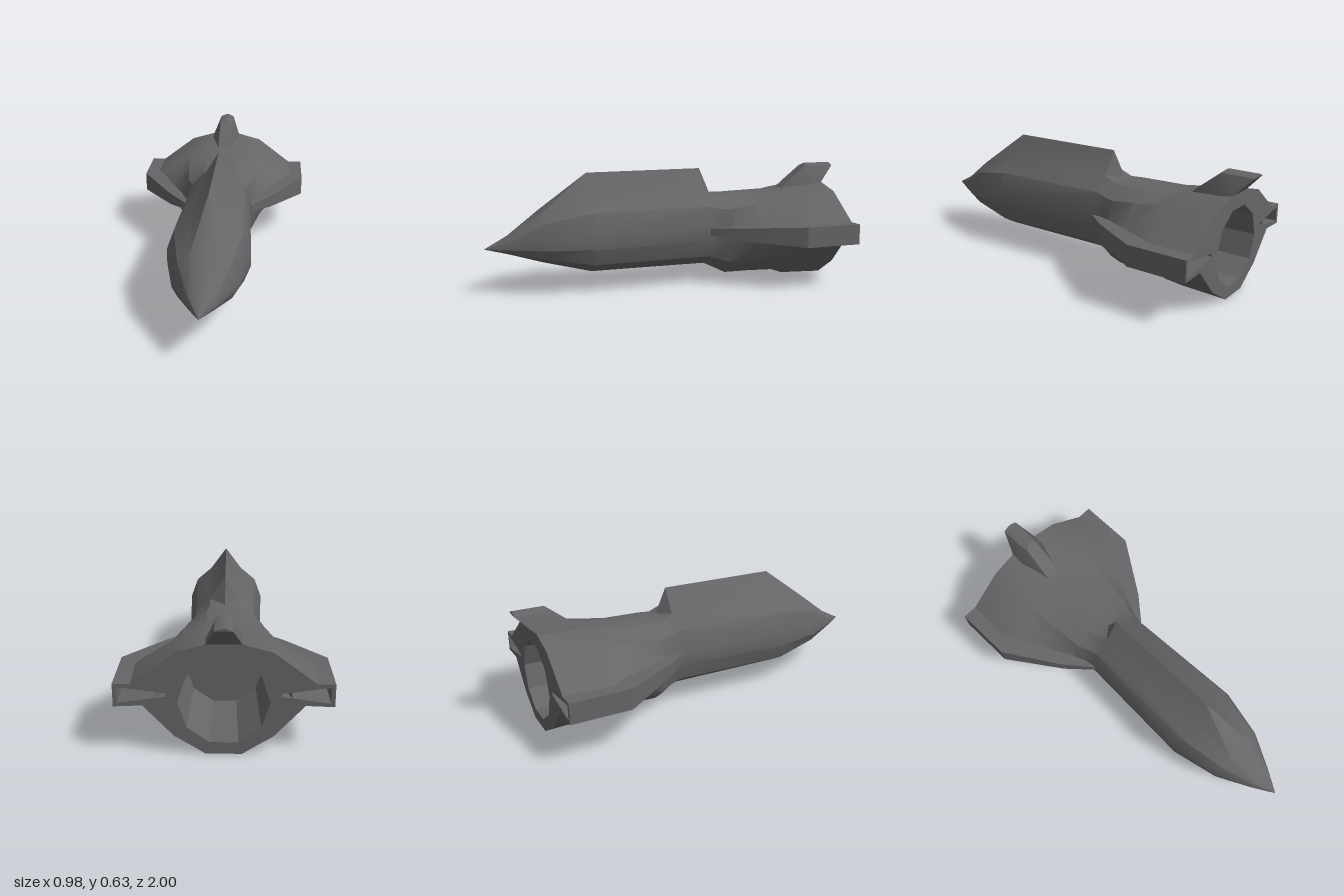
import * as THREE from 'three';
import { toCreasedNormals } from 'three/addons/utils/BufferGeometryUtils.js';

const material = new THREE.MeshStandardMaterial({ color: 0x656567 });
const BACK = -0.91;
const WAIST = 0.242;

// Skin closed rings of [x, y, z] points; skip(i, j) leaves a panel out.
// Panels on the second half of a ring are split the mirrored way.
function loft(rings, { startCap = false, endCap = false, skip = () => false } = {}) {
  const pos = [];
  const tri = (a, b, c) => pos.push(...a, ...b, ...c);
  const n = rings[0].length;
  for (let i = 0; i < rings.length - 1; i++) {
    for (let j = 0; j < n; j++) {
      if (skip(i, j)) continue;
      const k = (j + 1) % n, a = rings[i], b = rings[i + 1];
      if (j * 2 > n - 2) {
        tri(a[j], b[j], a[k]);
        tri(b[j], b[k], a[k]);
      } else {
        tri(a[j], b[j], b[k]);
        tri(a[j], b[k], a[k]);
      }
    }
  }
  const first = rings[0], last = rings[rings.length - 1];
  for (let j = 1; j < n - 1; j++) {
    if (startCap) tri(first[0], first[j], first[j + 1]);
    if (endCap) tri(last[0], last[j + 1], last[j]);
  }
  const geometry = new THREE.BufferGeometry();
  geometry.setAttribute('position', new THREE.Float32BufferAttribute(pos, 3));
  geometry.computeVertexNormals();
  return toCreasedNormals(geometry, 0.45);
}

const atZ = (points, z) => points.map(([x, y]) => [x, y, z]);
const mirrorRing = (ring) => ring.map(([x, ...rest]) => [-x, ...rest]).reverse();
// Complete a half outline that runs from bottom centre to top centre
const fullRing = (half) => [...half, ...half.slice(1, -1).map(([x, y]) => [-x, y]).reverse()];

// Unit hull profiles: widths from belly to spine, and heights above the waist.
// The belly heights below the waist are shared.
const bellyHeights = [-1, -1, -0.81, -0.63, 0];
const round = [0, 0.42, 0.64, 0.84, 1, 1, 0.82, 0.42, 0];
const flank = [0, 0.26, 0.47, 0.66, 0.92, 1, 0.66, 0.3, 0];
const flared = [0, 0.2, 0.37, 0.54, 0.88, 1, 0.53, 0.2, 0];
const profiles = {
  dome: { widths: round, upper: [0.3, 0.7, 0.94, 1] },
  ridge: { widths: round, upper: [0.21, 0.49, 0.68, 1] },
  flank: { widths: flank, upper: [0.35, 0.79, 0.97, 1] },
  skirt: { widths: flared, upper: [0.36, 0.87, 1, 1] },
};

// Hull stations, nose to tail: [z, profile, half width, bottom y, top y]
const stations = [
  [1, 'dome', 0, WAIST, WAIST],
  [0.88, 'dome', 0.07, 0.215, 0.305],
  [0.71, 'dome', 0.155, 0.168, 0.435],
  [0.46, 'ridge', 0.21, 0.107, 0.62],
  [-0.18, 'ridge', 0.182, 0.103, 0.625],
  [-0.24, 'dome', 0.195, 0.075, 0.49],
  [-0.3, 'dome', 0.225, 0.045, 0.49],
  [-0.44, 'flank', 0.3, 0.04, 0.488],
  [-0.6, 'skirt', 0.4, 0.035, 0.487],
  [-0.66, 'skirt', 0.43, 0.014, 0.497],
  [BACK, 'skirt', 0.41, 0.003, 0.53],
];

function halfSection([, name, width, bottom, top]) {
  const { widths, upper } = profiles[name];
  return [...bellyHeights, ...upper].map((v, i) =>
    [widths[i] * width, WAIST + v * (v < 0 ? WAIST - bottom : top - WAIST)]);
}

// Wing sections: [z, inner x, outer x, low y, high y]
const wing = [
  [-0.18, 0.15, 0.19, 0.275, 0.315],
  [-0.31, 0.17, 0.3, 0.258, 0.325],
  [-0.6, 0.2, 0.49, 0.237, 0.345],
  [BACK, 0.3, 0.49, 0.237, 0.345],
];

// Fin levels: [y, half width, front half width, back z, shoulder z, front z]
const fin = [
  [0.46, 0.085, 0.04, BACK, -0.82, -0.63],
  [0.53, 0.08, 0.038, BACK, -0.84, -0.71],
  [0.622, 0.04, 0.034, -1, -0.88, -0.825],
  [0.637, 0.006, 0.004, -1, -0.88, -0.842],
];

export function createModel() {
  const model = new THREE.Group();
  const add = (name, geometry) => {
    const mesh = new THREE.Mesh(geometry, material);
    mesh.name = name;
    model.add(mesh);
    return mesh;
  };

  // Hull, leaving out the tail side panels enclosed by the wings
  const halves = stations.map(halfSection);
  add('hull', loft(halves.map((half, i) => atZ(fullRing(half), stations[i][0])), {
    skip: (i, j) => i >= stations.length - 3 && (j === 4 || j === 11),
  }));

  // Wings
  const wingRings = wing.map(([z, a, b, lo, hi]) => atZ([[a, lo], [b, lo], [b, hi], [a, hi]], z));
  add('leftWing', loft(wingRings, { startCap: true }));
  add('rightWing', loft(wingRings.map(mirrorRing), { startCap: true }));

  // Tail fin
  const finRings = fin.map(([y, w, f, back, mid, front]) =>
    [[w, back], [w, mid], [f, front], [-f, front], [-w, mid], [-w, back]].map(([x, z]) => [x, y, z]));
  add('tailFin', loft(finRings, { startCap: true, endCap: true }));

  // Openings in the tail: engine and one tapered slot per wing
  const circle = (r) => Array.from({ length: 10 }, (_, i) => {
    const a = ((i + 0.5) / 10) * Math.PI * 2;
    return [r * Math.sin(a), 0.257 - r * Math.cos(a)];
  });
  const slot = [[0.255, 0.285], [0.472, 0.254], [0.472, 0.33], [0.255, 0.3]];
  const openings = [
    ['engineBore', circle(0.206), circle(0.19), 0.4],
    ['leftWingSlot', slot, slot, 0.2],
    ['rightWingSlot', mirrorRing(slot), mirrorRing(slot), 0.2],
  ];
  for (const [name, mouth, floor, depth] of openings) {
    const rings = [atZ([...floor].reverse(), BACK + depth), atZ([...mouth].reverse(), BACK)];
    add(name, loft(rings, { startCap: true }));
  }

  // Flat tail plate across hull and wings
  const tail = halves[halves.length - 1];
  const outline = fullRing([...tail.slice(0, 5), [0.49, 0.237], [0.49, 0.345], ...tail.slice(5)]);
  const toVectors = (points) => points.map(([x, y]) => new THREE.Vector2(x, y));
  const shape = new THREE.Shape(toVectors(outline));
  shape.holes = openings.map(([, mouth]) => new THREE.Path(toVectors(mouth)));
  const plate = add('tailPlate', new THREE.ShapeGeometry(shape));
  plate.rotation.y = Math.PI;
  plate.position.z = BACK;

  return model;
}
